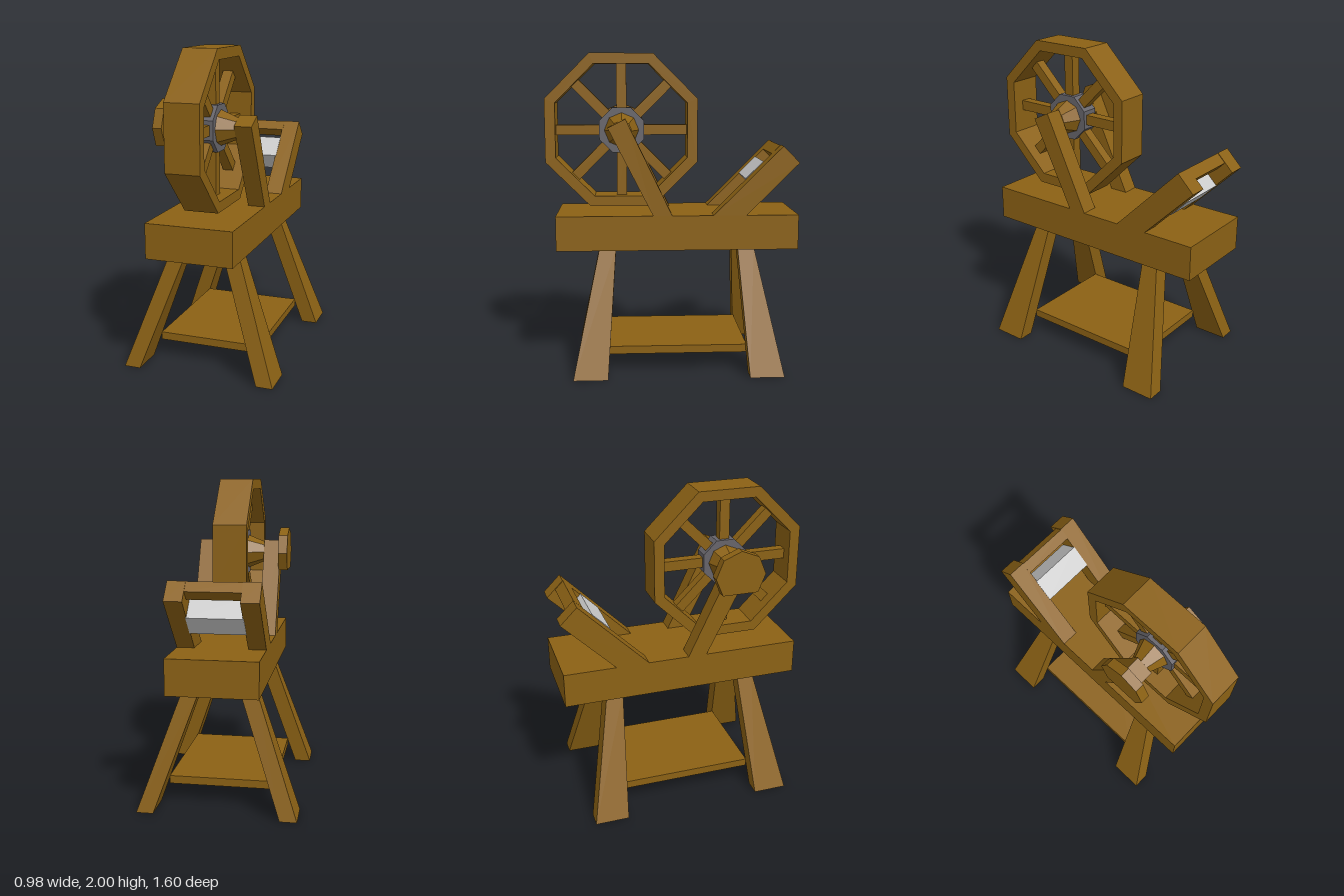
import * as THREE from 'three';

const wood = new THREE.MeshStandardMaterial({ color: 0x8b6114, flatShading: true, side: THREE.DoubleSide });
const iron = new THREE.MeshStandardMaterial({ color: 0x66646a, flatShading: true, side: THREE.DoubleSide });
const grey = new THREE.MeshStandardMaterial({ color: 0xcccccc, flatShading: true });

// wheel axle position in the side plane
const AY = 1.515, AZ = 0.315;

// side profile of [z, y] points, extruded from x0 to x1
function sideExtrude(points, x0, x1, hole) {
  const toV = ([z, y]) => new THREE.Vector2(-z, y);
  const shape = new THREE.Shape(points.map(toV));
  if (hole) shape.holes.push(new THREE.Path(hole.map(toV)));
  const g = new THREE.ExtrudeGeometry(shape, { depth: x1 - x0, bevelEnabled: false });
  return g.rotateY(Math.PI / 2).translate(x0, 0, 0);
}

// octagon around the axle, optionally turned
function octagon(r, turn = 0) {
  return Array.from({ length: 8 }, (_, i) => {
    const a = i * Math.PI / 4 + turn;
    return [AZ + r * Math.cos(a), AY + r * Math.sin(a)];
  });
}

// box without its underside
function openBox(w, h, d) {
  const g = new THREE.BoxGeometry(w, h, d);
  const idx = Array.from(g.index.array);
  idx.splice(18, 6);
  g.setIndex(idx);
  g.clearGroups();
  return g;
}

// splayed, tapering leg between a top and a bottom rectangle
function legGeometry(side, topZ, bottomZ) {
  const g = openBox(1, 1, 1);
  const p = g.attributes.position;
  for (let i = 0; i < p.count; i++) {
    const top = p.getY(i) > 0;
    p.setXYZ(i,
      side * (top ? 0.165 : 0.4375) + p.getX(i) * 0.105,
      top ? 0.775 : 0,
      (top ? topZ : bottomZ) + p.getZ(i) * (top ? 0.105 : 0.215));
  }
  g.computeVertexNormals();
  return g;
}

export function createModel() {
  const model = new THREE.Group();
  const add = (name, geometry, material = wood, parent = model) => {
    const mesh = new THREE.Mesh(geometry, material);
    mesh.name = name;
    parent.add(mesh);
    return mesh;
  };

  // bench and lower shelf, both hollow underneath
  add('bench', openBox(0.55, 0.22, 1.53)).position.set(0, 0.88, -0.035);
  add('shelf', openBox(0.66, 0.05, 0.87)).position.set(0, 0.14, -0.035);

  for (const s of [-1, 1]) {
    const side = s > 0 ? 'left' : 'right';
    add(side + 'FrontLeg', legGeometry(s, 0.408, 0.515));
    add(side + 'BackLeg', legGeometry(s, -0.473, -0.582));

    // slanted posts holding the wheel, and arms holding the spindle
    const x0 = s > 0 ? 0.165 : -0.275, x1 = x0 + 0.11;
    add(side + 'WheelPost', sideExtrude([[0, 0.99], [0.12, 0.99], [0.4, 1.54], [0.29, 1.595]], x0, x1));
    add(side + 'SpindleArm', sideExtrude([[-0.26, 0.99], [-0.47, 0.99], [-0.8, 1.32], [-0.695, 1.425]], x0, x1));

    // tapered axle
    const axle = new THREE.CylinderGeometry(0.066, 0.125, 0.145, 8).rotateZ(-s * Math.PI / 2);
    add(side + 'Axle', axle).position.set(s * 0.0925, AY, AZ);
  }

  // wheel: rim, spokes and hub ring
  const wheel = new THREE.Group();
  wheel.name = 'wheel';
  model.add(wheel);
  const turn = Math.PI / 8;
  add('rim', sideExtrude(octagon(0.525, turn), -0.108, 0.108, octagon(0.454, turn)), wood, wheel);
  for (let i = 0; i < 8; i++) {
    const spoke = new THREE.BoxGeometry(0.065, 0.33, 0.065).translate(0, 0.27, 0).rotateX(i * Math.PI / 4);
    add('spoke', spoke, wood, wheel).position.set(0, AY, AZ);
  }
  add('hub', sideExtrude(octagon(0.155, turn), -0.055, 0.055, octagon(0.1, turn)), iron, wheel);

  // faceted end plate of the axle
  add('axlePlate', sideExtrude(octagon(0.163).filter((_, i) => i !== 6), -0.33, -0.27));

  // spindle and crossbar between the arms, turned on edge
  const spindle = add('spindle', new THREE.BoxGeometry(0.34, 0.156, 0.156), grey);
  spindle.position.set(0, 1.21, -0.585);
  spindle.rotation.x = Math.PI / 4;
  const bar = add('crossbar', new THREE.BoxGeometry(0.34, 0.075, 0.075));
  bar.position.set(0, 1.37, -0.692);
  bar.rotation.x = Math.PI / 4;

  return model;
}
